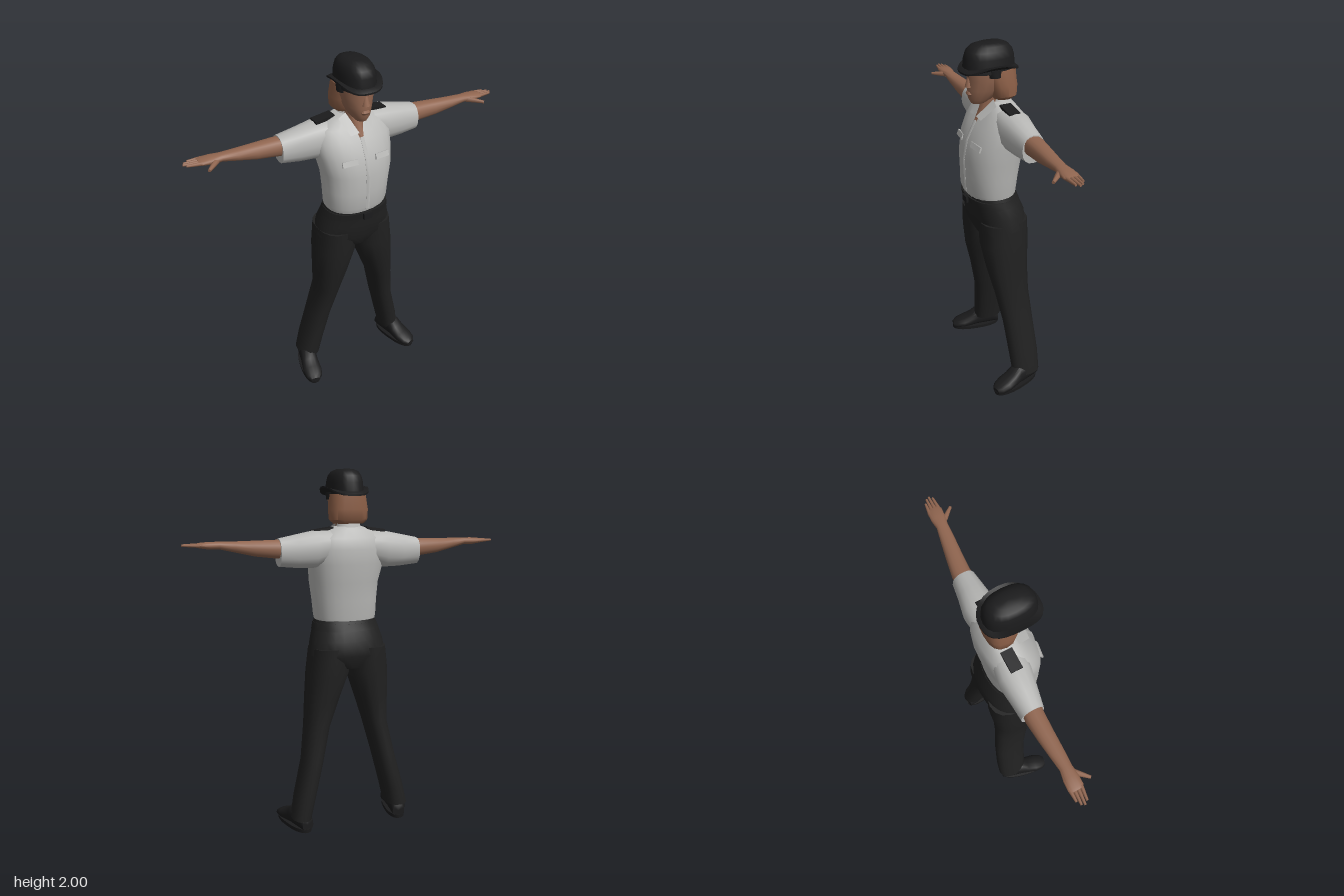
import * as THREE from 'three';
import { toCreasedNormals } from 'three/addons/utils/BufferGeometryUtils.js';

const mat = (name, color) => {
  const m = new THREE.MeshStandardMaterial({ color });
  m.name = name;
  return m;
};

// Closed skin over rounded rings. Ring = [t, uMin, uMax, vMin, vMax];
// axis y: u=x v=z, axis x: u=y v=z, axis z: u=x v=y
function loft(axis, rings, { sides = 16, power = 2.3, rule } = {}) {
  const pos = [], idx = [];
  const put = (t, u, v) => {
    const p = axis === 'y' ? [u, t, v] : axis === 'x' ? [t, u, v] : [u, v, t];
    if (rule) rule(p);
    pos.push(...p);
  };
  const flip = (axis === 'y') !== (rings[rings.length - 1][0] < rings[0][0]);
  const tri = (a, b, c) => (flip ? idx.push(a, c, b) : idx.push(a, b, c));
  const bend = (w) => Math.sign(w) * Math.abs(w) ** (2 / power);
  for (const [t, u0, u1, v0, v1] of rings) {
    for (let j = 0; j < sides; j++) {
      const a = (j / sides) * Math.PI * 2;
      put(t, (u0 + u1) / 2 + ((u1 - u0) / 2) * bend(Math.cos(a)),
        (v0 + v1) / 2 + ((v1 - v0) / 2) * bend(Math.sin(a)));
    }
  }
  const n = rings.length, first = n * sides, last = first + 1;
  for (const [t, u0, u1, v0, v1] of [rings[0], rings[n - 1]]) put(t, (u0 + u1) / 2, (v0 + v1) / 2);
  for (let j = 0; j < sides; j++) {
    const k = (j + 1) % sides, e = (n - 1) * sides;
    for (let i = 0; i < n - 1; i++) {
      const r = i * sides, s = r + sides;
      tri(r + j, r + k, s + k);
      tri(r + j, s + k, s + j);
    }
    tri(first, k, j);
    tri(last, e + j, e + k);
  }
  const g = new THREE.BufferGeometry();
  g.setAttribute('position', new THREE.Float32BufferAttribute(pos, 3));
  g.setIndex(idx);
  return toCreasedNormals(g, 0.8);
}

// Tapered round piece between two points
function taper(p, q, r0, r1) {
  const a = new THREE.Vector3(...p), b = new THREE.Vector3(...q), d = b.clone().sub(a);
  const g = new THREE.CylinderGeometry(r1, r0, d.length(), 8);
  g.applyQuaternion(new THREE.Quaternion().setFromUnitVectors(new THREE.Vector3(0, 1, 0), d.normalize()));
  const c = a.add(b).multiplyScalar(0.5);
  return g.translate(c.x, c.y, c.z);
}

export function createModel() {
  const model = new THREE.Group();
  const shirt = mat('light grey shirt', 0xb9b9b7);
  shirt.side = THREE.DoubleSide;
  const trousers = mat('black trousers', 0x202020);
  const black = mat('black felt and leather', 0x1b1b1c);
  const skin = mat('skin', 0x916650);
  const hair = mat('brown hair', 0x8c5f47);
  const add = (name, geo, m, parent = model) => {
    const mesh = new THREE.Mesh(geo, m);
    mesh.name = name;
    parent.add(mesh);
    return mesh;
  };

  // Shirt body
  add('shirtBody', loft('y', [
    [1.17, -0.17, 0.165, -0.098, 0.155], [1.21, -0.18, 0.175, -0.105, 0.17],
    [1.3, -0.183, 0.185, -0.113, 0.172], [1.4, -0.19, 0.2, -0.125, 0.175],
    [1.5, -0.213, 0.213, -0.14, 0.155], [1.58, -0.22, 0.22, -0.14, 0.115],
    [1.64, -0.2, 0.2, -0.13, 0.075], [1.68, -0.13, 0.13, -0.1, 0.045],
    [1.7, -0.075, 0.075, -0.085, 0.03]], { sides: 24 }), shirt);
  add('buttonPlacket', loft('y', [
    [1.2, -0.013, 0.013, 0.1, 0.174], [1.4, -0.013, 0.013, 0.1, 0.18],
    [1.5, -0.013, 0.013, 0.09, 0.16], [1.6, -0.012, 0.012, 0.05, 0.109]], { sides: 8, power: 5 }), shirt);

  // Collar band and two pointed flaps
  add('collarBand', loft('y', [
    [1.67, -0.08, 0.08, -0.095, 0.03], [1.715, -0.06, 0.06, -0.085, 0.02]]), shirt);
  for (const s of [1, -1]) {
    const flap = new THREE.BufferGeometry();
    flap.setAttribute('position', new THREE.Float32BufferAttribute([
      s * 0.052, 1.715, 0.025, s * 0.016, 1.625, 0.108, s * 0.065, 1.618, 0.104, s * 0.095, 1.69, 0.03], 3));
    flap.setIndex(s > 0 ? [0, 1, 2, 0, 2, 3] : [0, 2, 1, 0, 3, 2]);
    flap.computeVertexNormals();
    add('collarFlap', flap, shirt);

    const pocket = add('pocketFlap', new THREE.BoxGeometry(0.085, 0.03, 0.01), shirt);
    pocket.position.set(s * 0.095, 1.49, 0.148);
    pocket.rotation.set(-0.35, s * 0.15, 0);

    // Shoulder strap
    const strap = add('shoulderStrap', new THREE.BoxGeometry(0.11, 0.016, 0.062), black);
    strap.position.set(s * 0.147, 1.682, s > 0 ? -0.02 : -0.04);
    strap.rotation.z = -s * 0.14;
  }

  // Neck and head
  add('neck', loft('y', [
    [1.58, -0.02, 0.02, -0.03, 0.118], [1.66, -0.044, 0.044, -0.07, 0.078],
    [1.76, -0.05, 0.05, -0.07, 0.05]]), skin);
  add('face', loft('y', [
    [1.695, -0.03, 0.03, 0.05, 0.125], [1.72, -0.05, 0.05, 0, 0.14],
    [1.77, -0.072, 0.072, -0.08, 0.145], [1.82, -0.085, 0.085, -0.1, 0.143],
    [1.88, -0.085, 0.085, -0.1, 0.148]], { power: 2.1 }), skin);
  add('nose', taper([0, 1.785, 0.138], [0, 1.84, 0.135], 0.022, 0.008), skin);
  add('mouth', loft('y', [
    [1.737, -0.02, 0.02, 0.12, 0.145], [1.748, -0.026, 0.026, 0.12, 0.152],
    [1.76, -0.018, 0.018, 0.12, 0.147]], { sides: 8 }), skin);
  add('hair', loft('y', [
    [1.715, -0.08, 0.085, -0.09, 0.02], [1.735, -0.1, 0.108, -0.108, 0.035],
    [1.79, -0.104, 0.11, -0.113, 0.05], [1.87, -0.094, 0.096, -0.108, 0.075]], { power: 2.6 }), hair);

  // Hat with the brim turned up at the sides
  add('hatLining', loft('y', [
    [1.84, -0.1, 0.104, -0.02, 0.075], [1.88, -0.1, 0.102, -0.03, 0.085]]), black);
  add('hatCrown', loft('y', [
    [1.86, -0.093, 0.093, -0.11, 0.165], [1.93, -0.088, 0.088, -0.106, 0.158],
    [1.965, -0.08, 0.08, -0.095, 0.147], [1.988, -0.065, 0.065, -0.075, 0.122],
    [2.0, -0.04, 0.04, -0.045, 0.085]], { sides: 20, power: 2.4 }), black);
  add('hatBrim', loft('y', [
    [1.865, -0.085, 0.085, -0.1, 0.155], [1.86, -0.122, 0.122, -0.125, 0.183],
    [1.869, -0.122, 0.122, -0.125, 0.183], [1.885, -0.09, 0.09, -0.105, 0.16]],
  { sides: 28, power: 2.4, rule: (p) => { p[1] += 0.042 * (p[0] / 0.122) ** 4; } }), black);

  // Sleeves, arms and hands; the right arm trails a little further back
  for (const s of [1, -1]) {
    const side = s > 0 ? 'left' : 'right';
    const arm = new THREE.Group();
    arm.name = side + 'Arm';
    model.add(arm);
    const dz = (x) => (s > 0 ? 0 : -0.04 - 0.12 * (x - 0.4));
    const dy = s > 0 ? 0 : -0.008;
    const place = (rings) => rings.map(([x, y0, y1, z0, z1]) =>
      [s * x, y0 + dy, y1 + dy, z0 + dz(x), z1 + dz(x)]);
    const point = (x, y, z) => [s * x, y + dy, z + dz(x)];
    add(side + 'Sleeve', loft('x', place([
      [0.1, 1.52, 1.685, -0.115, 0.06], [0.2, 1.482, 1.682, -0.12, 0.062],
      [0.3, 1.485, 1.662, -0.098, 0.052], [0.395, 1.495, 1.643, -0.082, 0.042]])), shirt, arm);
    add(side + 'Forearm', loft('x', place([
      [0.33, 1.53, 1.64, -0.07, 0.035], [0.42, 1.54, 1.636, -0.07, 0.032],
      [0.52, 1.552, 1.634, -0.052, 0.038], [0.62, 1.575, 1.632, -0.032, 0.045],
      [0.7, 1.593, 1.632, -0.015, 0.048], [0.75, 1.593, 1.632, -0.02, 0.058],
      [0.8, 1.6, 1.628, -0.018, 0.062], [0.815, 1.604, 1.624, -0.012, 0.056]])), skin, arm);
    [0.858, 0.88, 0.888, 0.875].forEach((tip, i) => {
      const z = -0.008 + i * 0.019;
      add(side + 'Finger', taper(point(0.79, 1.614, z), point(tip, 1.616, z * 0.85 + 0.006), 0.011, 0.006), skin, arm);
    });
    add(side + 'Thumb', taper(point(0.725, 1.608, 0.035), point(0.79, 1.603, 0.108), 0.017, 0.008), skin, arm);
  }

  // Trousers: hips, waistband, buckle and two splayed legs
  add('hips', loft('y', [
    [0.925, -0.1, 0.1, -0.12, 0.1], [1.0, -0.222, 0.224, -0.155, 0.138],
    [1.08, -0.207, 0.21, -0.145, 0.142], [1.15, -0.187, 0.187, -0.117, 0.155],
    [1.19, -0.173, 0.173, -0.103, 0.16]], { sides: 24 }), trousers);
  add('belt', loft('y', [
    [1.135, -0.193, 0.193, -0.124, 0.16], [1.175, -0.181, 0.181, -0.11, 0.168]], { sides: 24 }), trousers);
  add('buckle', new THREE.BoxGeometry(0.05, 0.036, 0.014), black).position.set(0, 1.153, 0.17);
  add('leftLeg', loft('y', [
    [1.04, 0.005, 0.216, -0.14, 0.13], [0.9, 0, 0.235, -0.14, 0.13], [0.75, 0.06, 0.247, -0.125, 0.11],
    [0.6, 0.12, 0.26, -0.12, 0.08], [0.4, 0.17, 0.288, -0.135, 0.045],
    [0.2, 0.22, 0.338, -0.145, 0.03], [0.07, 0.252, 0.36, -0.145, 0.02]]), trousers);
  add('rightLeg', loft('y', [
    [1.04, -0.216, -0.005, -0.15, 0.13], [0.9, -0.232, 0, -0.15, 0.125], [0.75, -0.232, -0.05, -0.137, 0.105],
    [0.6, -0.222, -0.093, -0.14, 0.07], [0.4, -0.26, -0.138, -0.165, 0.025],
    [0.2, -0.31, -0.185, -0.18, 0.005], [0.09, -0.335, -0.208, -0.18, -0.005]]), trousers);

  // Shoes with soles, toes turned outwards
  for (const s of [1, -1]) {
    const shoe = new THREE.Group();
    shoe.name = s > 0 ? 'leftShoe' : 'rightShoe';
    shoe.position.set(s > 0 ? 0.318 : -0.298, 0, s > 0 ? 0.005 : -0.025);
    shoe.rotation.y = s * 0.22;
    model.add(shoe);
    add('shoeUpper', loft('z', [
      [-0.14, -0.035, 0.035, 0.01, 0.08], [-0.1, -0.046, 0.046, 0.01, 0.13],
      [0, -0.05, 0.05, 0.01, 0.13], [0.04, -0.053, 0.053, 0.01, 0.095],
      [0.09, -0.057, 0.057, 0.01, 0.072], [0.135, -0.047, 0.047, 0.01, 0.055],
      [0.158, -0.026, 0.026, 0.012, 0.04]]), black, shoe);
    add('shoeSole', loft('y', [
      [0, -0.056, 0.056, -0.145, 0.16], [0.022, -0.058, 0.058, -0.147, 0.162]], { sides: 20 }), black, shoe);
  }
  return model;
}
